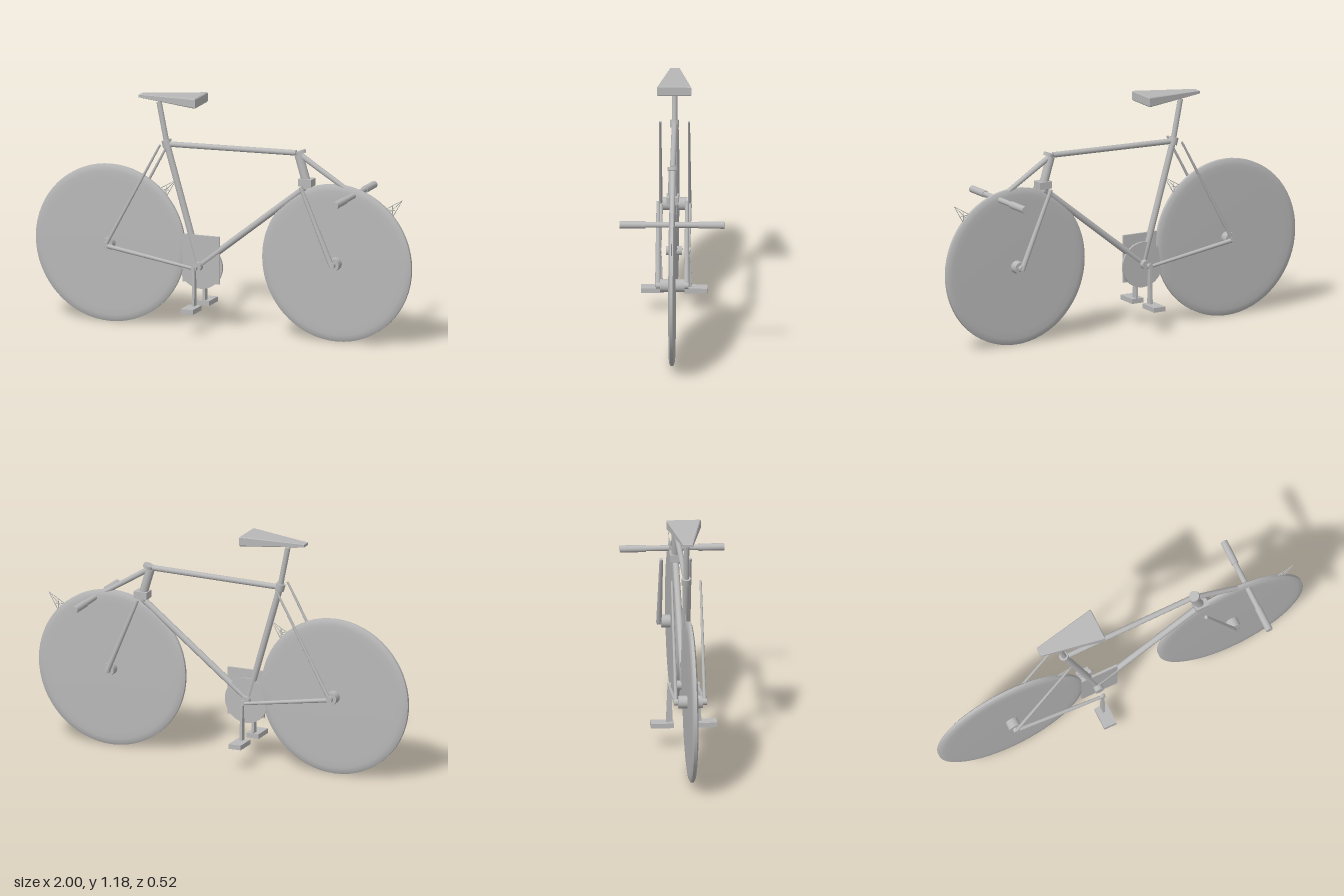
import * as THREE from 'three';
import { toCreasedNormals } from 'three/addons/utils/BufferGeometryUtils.js';

const grey = new THREE.MeshStandardMaterial({ color: 0xb8b8b8 });
grey.name = 'plain grey';

export function createModel() {
  const model = new THREE.Group();
  model.name = 'bicycle';

  const add = (name, geometry, x = 0, y = 0, z = 0) => {
    const mesh = new THREE.Mesh(geometry, grey);
    mesh.name = name;
    mesh.position.set(x, y, z);
    model.add(mesh);
    return mesh;
  };

  // Straight tube between two points, optionally tapered
  const tube = (name, a, b, ra, rb = ra, sides = 16) => {
    const p = new THREE.Vector3(...a), q = new THREE.Vector3(...b);
    const mesh = add(name, new THREE.CylinderGeometry(rb, ra, p.distanceTo(q), sides));
    mesh.position.copy(p).lerp(q, 0.5);
    mesh.quaternion.setFromUnitVectors(new THREE.Vector3(0, 1, 0), q.sub(p).normalize());
    return mesh;
  };

  // Cylinder lying across the bicycle
  const axle = (name, x, y, z0, z1, r, sides = 20) =>
    tube(name, [x, y, z0], [x, y, z1], r, r, sides);

  const wheelX = 0.603, wheelY = 0.397;
  const bracket = [-0.13, 0.32], seatLug = [-0.305, 0.925];

  // Solid disc wheels with a slightly rounded tyre, hub and tyre spike
  const half = [[0, 0.016], [0.33, 0.016], [0.365, 0.0155], [0.385, 0.013], [0.397, 0.007]];
  const profile = [...half.map(([r, h]) => new THREE.Vector2(r, -h)),
    ...half.slice().reverse().map(([r, h]) => new THREE.Vector2(r, h))];
  const wheelGeometry = toCreasedNormals(new THREE.LatheGeometry(profile, 64), 0.6);
  for (const [label, x] of [['rear', -wheelX], ['front', wheelX]]) {
    add(label + 'Wheel', wheelGeometry, x, wheelY).rotation.x = Math.PI / 2;
    axle(label + 'Hub', x, wheelY, -0.06, 0.06, 0.032);
    const tip = [x + 0.347, 0.742, 0];
    const feet = [[x + 0.258, 0.69], [x + 0.276, 0.672], [x + 0.294, 0.652]];
    for (const [fx, fy] of feet) tube(label + 'Spike', [fx, fy, 0], tip, 0.0025, 0.001, 6);
    tube(label + 'SpikeBrace', [x + 0.295, 0.712, 0], [x + 0.294, 0.652, 0], 0.002, 0.002, 6);
    tube(label + 'SpikeBrace', [x + 0.258, 0.69, 0], [x + 0.308, 0.688, 0], 0.002, 0.002, 6);
  }

  // Main frame
  axle('bottomBracket', ...bracket, -0.04, 0.04, 0.023);
  tube('seatTube', [...bracket, 0], [...seatLug, 0], 0.016);
  tube('seatLug', [-0.3, 0.905, 0], [-0.31, 0.94, 0], 0.023);
  tube('seatPost', [...seatLug, 0], [-0.346, 1.13, 0], 0.0135);
  tube('topTube', [-0.295, 0.921, 0], [0.385, 0.935, 0], 0.014);
  tube('downTube', [...bracket, 0], [0.435, 0.765, 0], 0.016);
  tube('headTube', [0.398, 0.93, 0], [0.44, 0.79, 0], 0.022);
  tube('headCap', [0.407, 0.932, 0], [0.41, 0.948, 0], 0.027).rotation.z = 0.35;
  add('forkCrown', new THREE.BoxGeometry(0.07, 0.036, 0.06), 0.441, 0.792);
  tube('crownCollar', [0.437, 0.785, 0], [0.443, 0.762, 0], 0.025);

  // Stem and handlebar
  tube('stem', [0.41, 0.925, 0], [0.695, 0.748, 0], 0.014, 0.012);
  axle('handlebar', 0.695, 0.747, -0.14, 0.14, 0.014);

  // Parts mirrored on both sides
  for (const s of [1, -1]) {
    const z = 0.071 * s;
    tube('forkLeg', [wheelX, 0.39, z], [0.437, 0.78, z], 0.014, 0.009);
    tube('seatStay', [-wheelX, 0.395, z], [-0.312, 0.93, z], 0.009, 0.0055);
    tube('chainStay', [-wheelX, 0.395, z], [-0.13, 0.318, z], 0.011, 0.008);
    axle('rearDropout', -wheelX, wheelY, z - 0.01, z + 0.01, 0.016);
    axle('frontDropout', wheelX, wheelY, z - 0.01, z + 0.01, 0.016);
    axle('grip', 0.695, 0.747, 0.13 * s, 0.258 * s, 0.018);

    // Crank arm widens sideways toward the pedal
    const arm = new THREE.BoxGeometry(0.013, 0.2, 0.034);
    const p = arm.attributes.position;
    for (let i = 0; i < p.count; i++) if (p.getY(i) > 0) p.setZ(i, p.getZ(i) * 0.5);
    arm.computeVertexNormals();
    add('crank', arm, -0.13, 0.225, z);
    axle('crankEnd', ...bracket, z - 0.008, z + 0.008, 0.014);
    add('pedal', new THREE.BoxGeometry(0.066, 0.024, 0.114), -0.132, 0.119, 0.107 * s);
  }

  // Chainring and guard plate
  axle('chainring', -0.125, 0.317, -0.012, 0, 0.115, 40);
  add('guardPlate', new THREE.BoxGeometry(0.196, 0.24, 0.012), -0.118, 0.355, 0.006);

  // Wedge saddle, its outline extruded upward with a small bevel
  const outline = new THREE.Shape([[-0.441, -0.02], [-0.124, -0.081], [-0.124, 0.081], [-0.441, 0.02]]
    .map(([x, z]) => new THREE.Vector2(x, z)));
  const saddle = new THREE.ExtrudeGeometry(outline, {
    depth: 0.8, bevelThickness: 0.1, bevelSize: 0.004, bevelSegments: 1,
  });
  saddle.rotateX(-Math.PI / 2);
  const sp = saddle.attributes.position;
  for (let i = 0; i < sp.count; i++) {
    const t = (sp.getX(i) + 0.445) / 0.325;
    sp.setY(i, 1.156 + (sp.getY(i) - 0.4) * (0.016 + 0.034 * t));
  }
  saddle.computeVertexNormals();
  add('saddle', saddle);

  return model;
}
